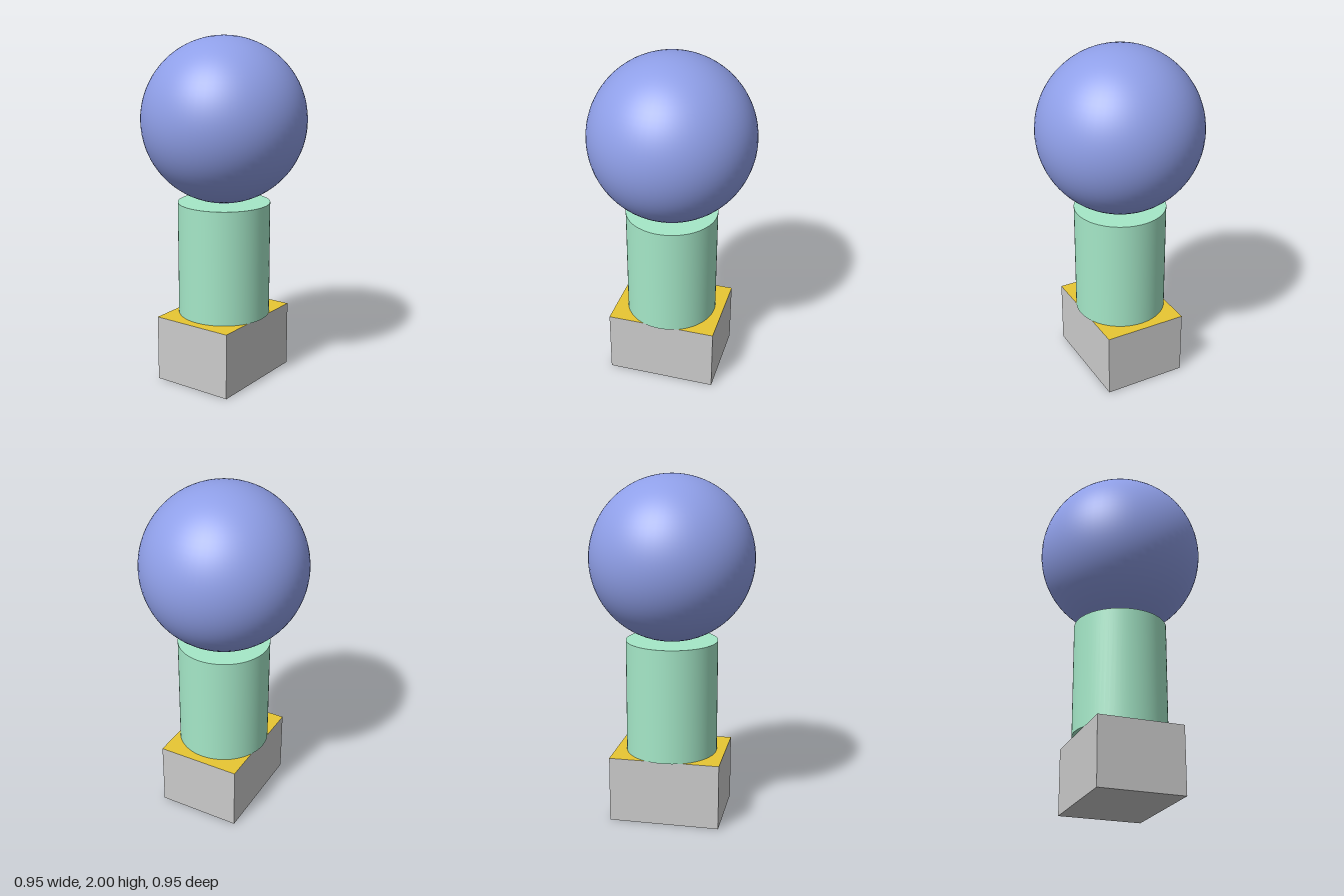
import * as THREE from 'three';

const paint = (color) => new THREE.MeshStandardMaterial({ color });

export function createModel() {
  const group = new THREE.Group();
  const add = (name, geometry, material, y) => {
    const mesh = new THREE.Mesh(geometry, material);
    mesh.name = name;
    mesh.position.y = y;
    group.add(mesh);
  };

  const baseHeight = 0.385;
  const columnHeight = 0.667;
  const ballRadius = 0.474;

  // Grey block whose top face alone is yellow (face order: +x, -x, +y, -y, +z, -z)
  const grey = paint(0xcccccc);
  const yellow = paint(0xe8c733);
  add('base', new THREE.BoxGeometry(0.642, baseHeight, 0.492),
    [grey, grey, yellow, grey, grey, grey], baseHeight / 2);

  // Column, slightly deeper than the block so it overhangs front and back
  add('column', new THREE.CylinderGeometry(0.268, 0.268, columnHeight, 64),
    paint(0xa5e8c8), baseHeight + columnHeight / 2);

  // Ball resting on the column
  add('ball', new THREE.SphereGeometry(ballRadius, 64, 40),
    paint(0x8f9fe8), baseHeight + columnHeight + ballRadius);

  return group;
}
